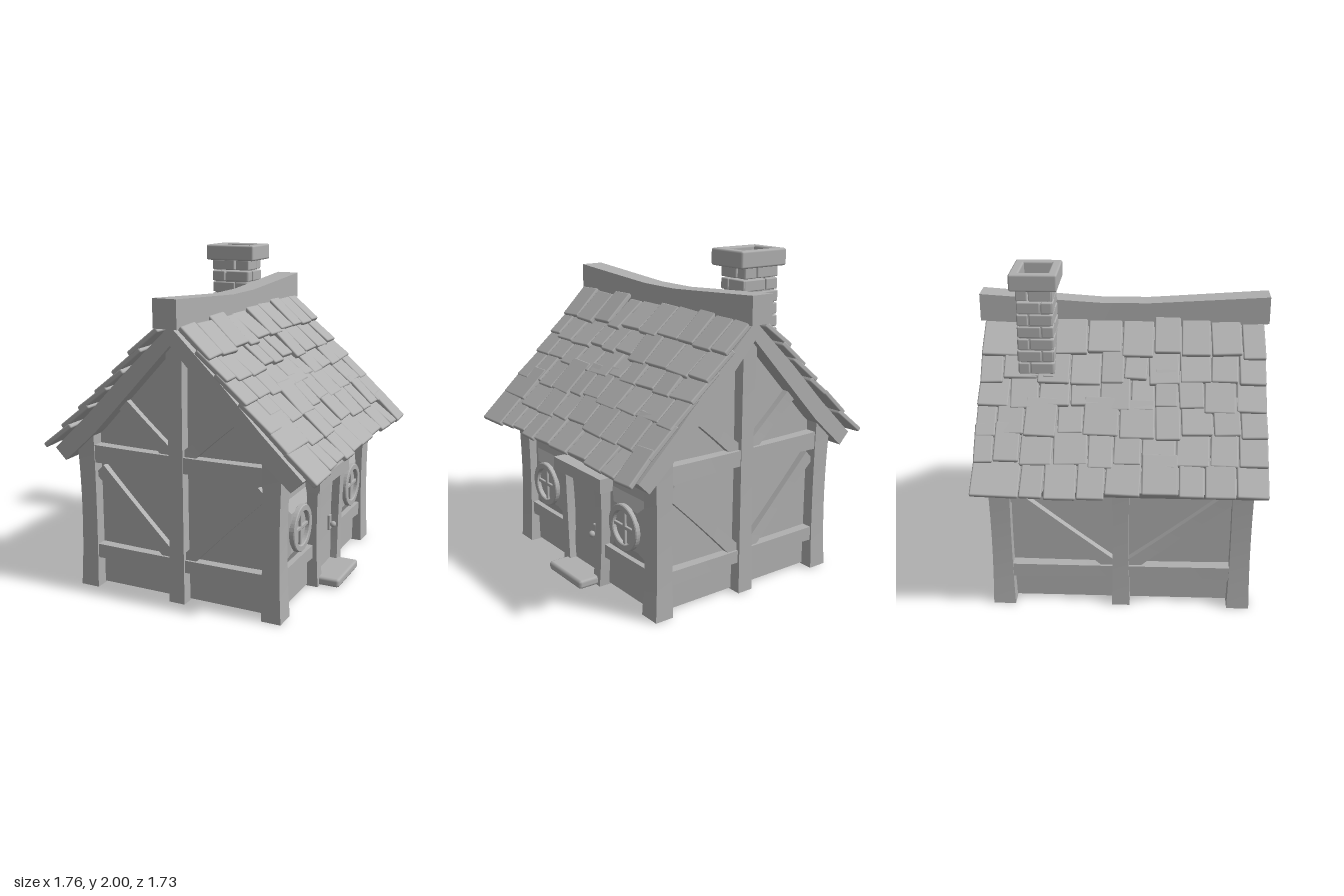
import * as THREE from 'three';
import { RoundedBoxGeometry } from 'three/addons/geometries/RoundedBoxGeometry.js';

const clay = new THREE.MeshStandardMaterial({ color: 0xb0b0b0 });
clay.name = 'clay grey';

let seed = 11;
const rand = () => (seed = (seed * 16807) % 2147483647) / 2147483647;
const jitter = (a) => (rand() * 2 - 1) * a;

function add(parent, name, geometry, x = 0, y = 0, z = 0) {
  const mesh = new THREE.Mesh(geometry, clay);
  mesh.name = name;
  mesh.position.set(x, y, z);
  parent.add(mesh);
  return mesh;
}

const block = (parent, name, w, h, d, x, y, z, r = 0.01) =>
  add(parent, name, new RoundedBoxGeometry(w, h, d, 1, r), x, y, z);

// Timber from a to b in the XY plane, bowed sideways and flared at its ends
function beam(parent, name, [ax, ay], [bx, by], w, d, z, bow = 0) {
  const length = Math.hypot(bx - ax, by - ay);
  const g = new THREE.BoxGeometry(w, length, d, 1, 8, 1);
  const p = g.attributes.position;
  for (let i = 0; i < p.count; i++) {
    const t = p.getY(i) / length * 2;
    const flare = 0.94 + 0.14 * t * t;
    p.setXYZ(i, p.getX(i) * flare + bow * (1 - t * t), p.getY(i), p.getZ(i) * flare);
  }
  g.computeVertexNormals();
  const m = add(parent, name, g, (ax + bx) / 2, (ay + by) / 2, z);
  m.rotation.z = Math.atan2(ax - bx, by - ay);
  return m;
}

function plate(points, depth) {
  const shape = new THREE.Shape(points.map(([x, y]) => new THREE.Vector2(x, y)));
  return new THREE.ExtrudeGeometry(shape, { depth, bevelEnabled: false });
}

// Cross beams and the V of braces shared by three of the walls
function timberFrame(g, z, half) {
  beam(g, 'upperBeam', [-half, 0.84], [half, 0.84], 0.1, 0.11, z);
  beam(g, 'lowerBeam', [-half, 0.23], [half, 0.23], 0.08, 0.1, z);
  for (const s of [-1, 1])
    beam(g, 'lowerBrace', [s * 0.05, 0.26], [s * (half - 0.02), 0.74], 0.075, 0.07, z - 0.005);
}

function gable() {
  const g = new THREE.Group();
  g.name = 'gableWall';
  add(g, 'gablePanel', plate([[-0.58, 0.01], [0.58, 0.01], [0.58, 0.93], [0, 1.58], [-0.58, 0.93]], 0.02), 0, 0, 0.68);
  timberFrame(g, 0.71, 0.55);
  beam(g, 'centrePost', [0, 0], [0, 1.58], 0.095, 0.12, 0.71);
  for (const s of [-1, 1])
    beam(g, 'upperBrace', [s * 0.05, 0.88], [s * 0.38, 1.17], 0.075, 0.07, 0.705);
  return g;
}

function leftWall() {
  const g = new THREE.Group();
  g.name = 'leftWall';
  add(g, 'wallPanel', plate([[-0.68, 0.01], [0.68, 0.01], [0.68, 0.93], [-0.68, 0.93]], 0.02), 0, 0, 0.55);
  timberFrame(g, 0.585, 0.67);
  beam(g, 'centrePost', [0, 0], [0, 0.9], 0.1, 0.12, 0.585);
  g.rotation.y = -Math.PI / 2;
  return g;
}

function roundWindow(x) {
  const g = new THREE.Group();
  g.name = 'roundWindow';
  // Plaster swelling around the opening
  const swell = new THREE.CylinderGeometry(0.17, 0.28, 0.04, 4, 1).toNonIndexed();
  swell.rotateY(Math.PI / 4);
  swell.rotateX(Math.PI / 2);
  swell.computeVertexNormals();
  add(g, 'windowSwelling', swell, 0, 0, 0.61);
  const ring = new THREE.Shape().absarc(0, 0, 0.14, 0, Math.PI * 2);
  ring.holes.push(new THREE.Path().absarc(0, 0, 0.1, 0, Math.PI * 2, true));
  add(g, 'windowRing', new THREE.ExtrudeGeometry(ring, {
    depth: 0.025, bevelSize: 0.005, bevelThickness: 0.005, bevelOffset: -0.005, bevelSegments: 1, curveSegments: 20,
  }), 0, 0, 0.627);
  block(g, 'windowBarUpright', 0.022, 0.21, 0.02, 0, 0, 0.635, 0.004);
  block(g, 'windowBarCross', 0.21, 0.022, 0.02, 0, 0, 0.635, 0.004);
  g.position.set(x, 0.46, 0);
  return g;
}

function doorWall() {
  const g = new THREE.Group();
  g.name = 'doorWall';
  add(g, 'wallPanel', plate([[-0.68, 0.01], [0.68, 0.01], [0.68, 0.93], [-0.68, 0.93]], 0.03), 0, 0, 0.565);
  for (const s of [-1, 1]) {
    beam(g, 'sillBeam', [s * 0.2, 0.23], [s * 0.67, 0.23], 0.08, 0.08, 0.59);
    beam(g, 'doorPost', [s * 0.17, 0], [s * 0.2, 0.64], 0.07, 0.1, 0.61, s * 0.008);
    g.add(roundWindow(s * 0.445));
  }
  beam(g, 'lintel', [-0.265, 0.66], [0.265, 0.66], 0.08, 0.12, 0.62);
  beam(g, 'door', [0, 0.03], [0, 0.63], 0.3, 0.05, 0.59);
  block(g, 'handlePlate', 0.035, 0.1, 0.02, 0.1, 0.31, 0.62, 0.006);
  add(g, 'doorKnob', new THREE.SphereGeometry(0.02, 12, 8), 0.1, 0.3, 0.645);
  block(g, 'doorstep', 0.37, 0.055, 0.22, 0, 0.03, 0.68, 0.018);
  g.rotation.y = Math.PI / 2;
  return g;
}

// Overlapping rows of uneven shingles on one slope
function shingles() {
  const g = new THREE.Group();
  g.name = 'shingleSlope';
  const rows = [[0.24, 1.48], [0.36, 1.355], [0.475, 1.235], [0.6, 1.115], [0.725, 0.995], [0.86, 0.865]];
  rows.forEach(([ex, ey]) => {
    let z = -0.84;
    while (z < 0.83) {
      let w = 0.13 + rand() * 0.08;
      if (0.84 - z - w < 0.1) w = 0.84 - z;
      const tilt = 0.7 + jitter(0.07), length = 0.24, slip = jitter(0.014);
      const m = block(g, 'shingle', length, 0.032, w - 0.006,
        ex + slip - Math.cos(tilt) * length / 2, ey - slip + Math.sin(tilt) * length / 2, z + w / 2, 0.009);
      m.rotation.set(jitter(0.04), jitter(0.04), -tilt);
      z += w;
    }
  });
  return g;
}

function chimney() {
  const g = new THREE.Group();
  g.name = 'chimney';
  block(g, 'chimneyCore', 0.235, 0.57, 0.185, 0, 1.535, 0);
  // Staggered bricks on all four faces
  for (let row = 0; row < 9; row++) {
    const y = 1.285 + row * 0.073, shift = row % 2 ? 0.035 : -0.035;
    for (const s of [-1, 1]) {
      for (const e of [-1, 1]) {
        const w = 0.13 + e * shift, d = 0.105 - e * shift;
        block(g, 'brick', w - 0.007, 0.066, 0.035, e * (0.13 - w / 2), y, s * (0.088 + jitter(0.004)), 0.007);
        block(g, 'brick', 0.035, 0.066, d - 0.007, s * (0.113 + jitter(0.004)), y, e * (0.105 - d / 2), 0.007);
      }
    }
  }
  // Hollow cap
  for (const s of [-1, 1]) {
    block(g, 'capLongSide', 0.34, 0.1, 0.055, 0.01, 1.95, s * 0.11, 0.012);
    block(g, 'capShortSide', 0.055, 0.1, 0.27, 0.01 + s * 0.1425, 1.95, 0, 0.012);
  }
  g.position.set(-0.22, 0, -0.503);
  return g;
}

export function createModel() {
  const house = new THREE.Group();
  house.name = 'cottage';

  const front = gable();
  const back = gable();
  back.rotation.y = Math.PI;
  house.add(front, back, leftWall(), doorWall());

  for (const sx of [-1, 1])
    for (const sz of [-1, 1])
      beam(house, 'cornerPost', [sx * 0.6, 0], [sx * 0.6, 0.96], 0.11, 0.125, sz * 0.712, -sx * 0.008);

  // Roof deck, gently sagging on both slopes
  const upper = [[0.79, 0.86], [0.55, 1.09], [0.3, 1.35]];
  const lower = [[0.25, 1.26], [0.5, 0.99], [0.72, 0.79]];
  const flip = (pts) => pts.map(([x, y]) => [-x, y]).reverse();
  add(house, 'roofDeck', plate([...upper, [0, 1.64], ...flip(upper), ...flip(lower), [0, 1.53], ...lower], 1.62), 0, 0, -0.81);

  const rightSlope = shingles();
  const leftSlope = shingles();
  leftSlope.rotation.y = Math.PI;
  house.add(rightSlope, leftSlope);

  // Swaybacked ridge beam
  const ridge = new THREE.BoxGeometry(0.14, 0.15, 1.73, 1, 1, 12);
  const p = ridge.attributes.position;
  for (let i = 0; i < p.count; i++) {
    const t = Math.max(0, Math.abs(p.getZ(i)) - 0.15) / 0.715;
    p.setY(i, p.getY(i) * (1 + 0.1 * t) + 0.04 * t);
    p.setX(i, p.getX(i) * (0.93 + 0.12 * t));
  }
  ridge.computeVertexNormals();
  add(house, 'ridgeBeam', ridge, 0, 1.67, 0);

  house.add(chimney());
  return house;
}
